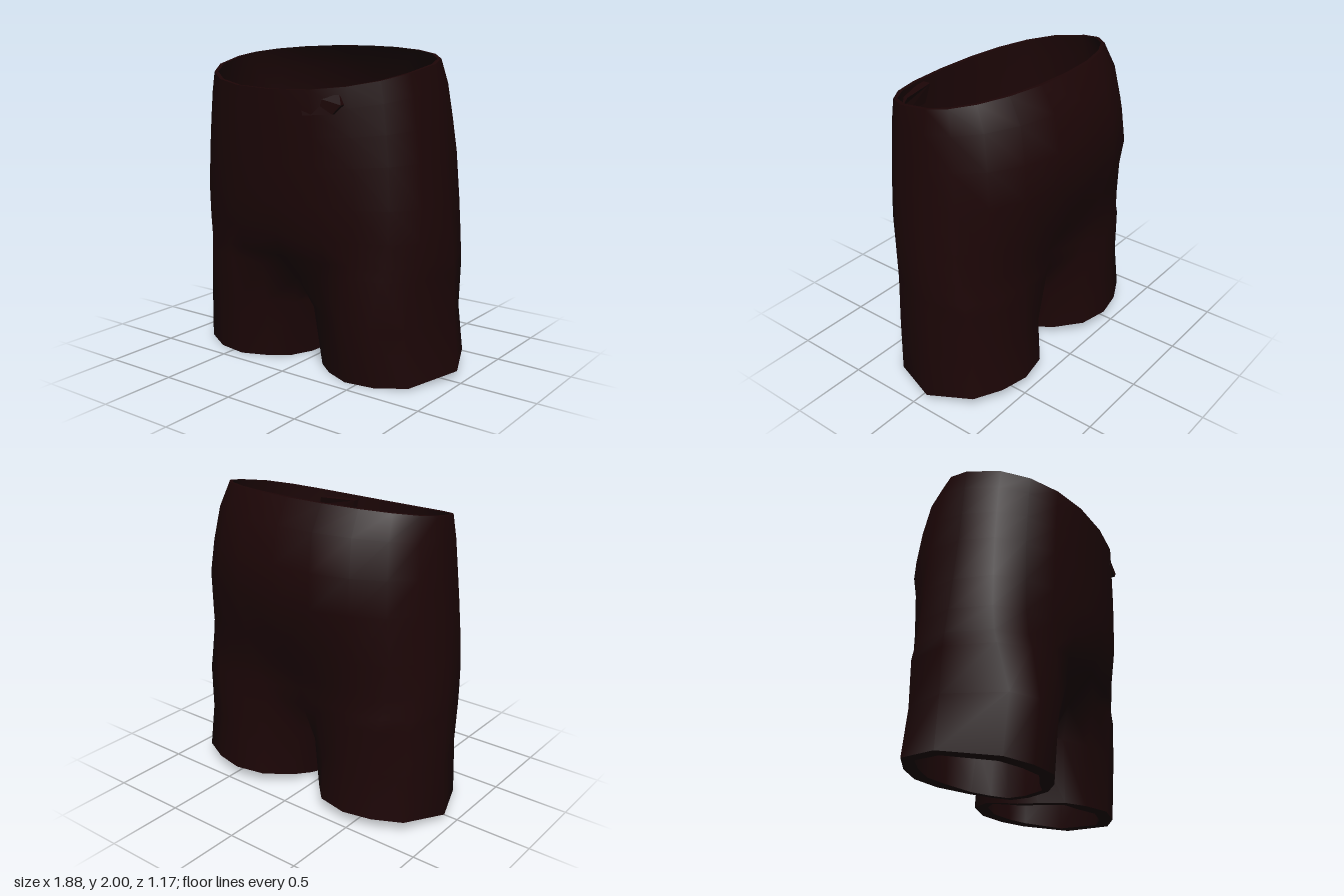
import * as THREE from 'three';
import { mergeGeometries, mergeVertices } from 'three/addons/utils/BufferGeometryUtils.js';

const ARC = 11; // points from centre front, round the side, to centre back

// Body rows: y, half width, front z, back z, waist tilt, centre-back crease, blend into the legs
const BODY = [
  [1.925, 0.77, 0.59, 0.42, 1, 1, 0],
  [1.78, 0.797, 0.588, 0.53, 0.8, 0.97, 0],
  [1.58, 0.82, 0.585, 0.587, 0.5, 0.96, 0],
  [1.38, 0.842, 0.58, 0.615, 0.3, 0.93, 0.05],
  [1.1, 0.87, 0.575, 0.555, 0, 0.86, 0.25],
  [0.9, 0.89, 0.548, 0.515, 0, 0.76, 0.5],
  [0.75, 0.905, 0.495, 0.48, 0, 0.68, 0.8],
];
// Where the legs begin (x, y, z): the arc points, then the crotch seam
const CROTCH = [
  [0, 0.58, 0.34], [0.22, 0.65, 0.425], [0.45, 0.67, 0.452], [0.67, 0.67, 0.395],
  [0.82, 0.67, 0.245], [0.907, 0.67, -0.05], [0.81, 0.67, -0.31], [0.64, 0.67, -0.41],
  [0.43, 0.67, -0.445], [0.2, 0.67, -0.425], [0, 0.6, -0.3],
  [0, 0.48, -0.17], [0, 0.43, -0.02], [0, 0.47, 0.16],
];
// Leg hem outline (x, z): the arc points, then three along the inner thigh
const HEM = [
  [0.13, 0.25], [0.25, 0.34], [0.42, 0.41], [0.62, 0.38], [0.80, 0.28], [0.94, -0.06],
  [0.82, -0.34], [0.64, -0.43], [0.45, -0.47], [0.25, -0.43], [0.11, -0.28],
  [0.06, -0.15], [0.045, -0.03], [0.065, 0.1],
];

function bodyRow([y, w, front, back, tilt, crease, blend]) {
  const row = [];
  for (let i = 0; i < ARC; i++) {
    const t = (i / (ARC - 1)) * Math.PI;
    const s = i % (ARC - 1) ? Math.sin(t) : 0;
    const c = Math.cos(t);
    // boxy hips, with a rounder back towards the waist
    const round = c < 0 ? 0.12 * tilt : 0;
    let x = w * Math.pow(s, 0.88 + round);
    let z = Math.sign(c) * Math.pow(Math.abs(c), 0.85 + round) * (c > 0 ? front : back);
    if (i === ARC - 1) z *= crease;
    if (i > 1 && i < ARC - 1) {
      x = THREE.MathUtils.lerp(x, CROTCH[i][0], blend);
      z = THREE.MathUtils.lerp(z, CROTCH[i][2], blend);
    }
    const slope = z < 0 ? -0.18 * z : -0.16 * z - 0.14 * z * z;
    row.push([x, y + tilt * slope, z]);
  }
  return row;
}

// One half of the cloth: body rows, crotch seam, then a closed leg
function halfCloth() {
  const rows = BODY.map(bodyRow);
  rows.push(CROTCH);
  rows.push(HEM.map(([x, z]) => [
    x > 0.2 ? x * 0.968 : x * 0.6, 0.38, z * (z > 0 ? 1.08 : 0.945)]));
  rows.push(HEM.map(([x, z]) => [
    x, Math.min(0.08, Math.max(0, -z) * 0.2) + Math.max(0, x - 0.75) * 0.18, z]));

  const positions = [], starts = [], index = [];
  rows.forEach((row) => {
    starts.push(positions.length / 3);
    row.forEach((p) => positions.push(...p));
  });
  for (let j = 0; j < rows.length - 1; j++) {
    const closed = rows[j].length > ARC;
    const n = closed ? HEM.length : ARC - 1;
    for (let i = 0; i < n; i++) {
      const k = closed ? (i + 1) % n : i + 1;
      const a = starts[j] + i, b = starts[j + 1] + i;
      const c = starts[j + 1] + k, d = starts[j] + k;
      index.push(a, b, c, a, c, d);
    }
  }
  const g = new THREE.BufferGeometry();
  g.setAttribute('position', new THREE.Float32BufferAttribute(positions, 3));
  g.setIndex(index);
  return g;
}

function flipped(g) {
  const ix = Array.from(g.index.array);
  for (let i = 0; i < ix.length; i += 3) [ix[i], ix[i + 1]] = [ix[i + 1], ix[i]];
  g.setIndex(ix);
  return g;
}

// Lining: the cloth moved inwards, thicker at the hems than at the waist
function makeLining(outer) {
  const g = flipped(outer.clone());
  const p = g.attributes.position, n = outer.attributes.normal;
  for (let i = 0; i < p.count; i++) {
    const y = p.getY(i);
    const innerThigh = Math.abs(p.getX(i)) < 0.15;
    const t = y > 0.7 ? 0.025 : innerThigh ? 0.045 : y < 0.2 ? 0.085 : 0.05;
    const lift = y < 0.2 || y > 1.76 ? 0 : n.getY(i) * t;
    p.setXYZ(i, p.getX(i) - n.getX(i) * t, y - lift, p.getZ(i) - n.getZ(i) * t);
  }
  g.computeVertexNormals();
  return g;
}

// Rims: close every open edge between cloth and lining
function makeRims(outer, lining) {
  const ix = outer.index.array, edges = new Set(), positions = [];
  for (let i = 0; i < ix.length; i += 3)
    for (let k = 0; k < 3; k++) edges.add(ix[i + k] + '_' + ix[i + (k + 1) % 3]);
  const add = (g, i) => positions.push(...new THREE.Vector3().fromBufferAttribute(g.attributes.position, i));
  for (const e of edges) {
    const [a, b] = e.split('_').map(Number);
    if (edges.has(b + '_' + a)) continue;
    add(outer, b); add(outer, a); add(lining, a);
    add(outer, b); add(lining, a); add(lining, b);
  }
  const g = new THREE.BufferGeometry();
  g.setAttribute('position', new THREE.Float32BufferAttribute(positions, 3));
  g.computeVertexNormals();
  return g;
}

// Small fastening flap, emerging from the front of the waist towards its free end
function makeFlap() {
  const shape = new THREE.Shape([
    [0.2, 1.77], [0.23, 1.64], [0.42, 1.655], [0.475, 1.71], [0.45, 1.765],
  ].map(([x, y]) => new THREE.Vector2(x, y)));
  const g = new THREE.ExtrudeGeometry(shape, { depth: 0.06, bevelEnabled: false });
  const p = g.attributes.position;
  for (let i = 0; i < p.count; i++) {
    // sink the top edge into the cloth and follow the curve of the waist
    const sink = p.getY(i) > 1.75 ? 0.025 : 0;
    p.setZ(i, p.getZ(i) + 0.518 - 0.17 * (p.getX(i) - 0.2) - sink);
  }
  g.computeVertexNormals();
  return g;
}

export function createModel() {
  const group = new THREE.Group();
  group.name = 'shorts';
  const cloth = new THREE.MeshStandardMaterial({ color: 0x1c0506 });
  cloth.name = 'dark maroon cloth';

  const left = halfCloth();
  const right = flipped(left.clone().scale(-1, 1, 1));
  const outer = mergeVertices(mergeGeometries([left, right]), 1e-4);
  outer.computeVertexNormals();
  const lining = makeLining(outer);

  const parts = {
    outerCloth: outer,
    lining,
    waistAndHemRims: makeRims(outer, lining),
    waistFlap: makeFlap(),
  };
  for (const [name, geometry] of Object.entries(parts)) {
    const mesh = new THREE.Mesh(geometry, cloth);
    mesh.name = name;
    group.add(mesh);
  }
  return group;
}
